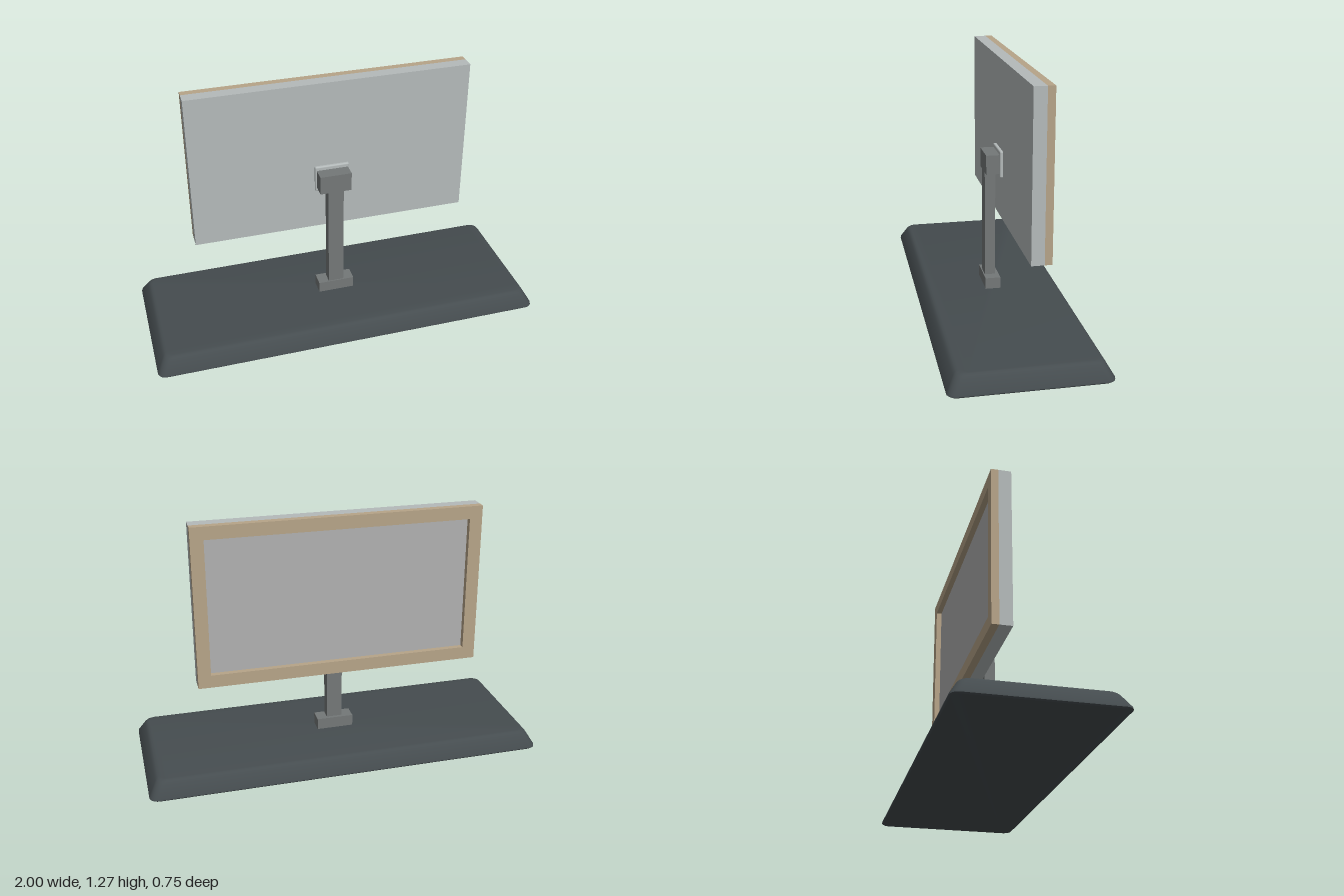
import * as THREE from 'three';
import { toCreasedNormals } from 'three/addons/utils/BufferGeometryUtils.js';
import { RoundedBoxGeometry } from 'three/addons/geometries/RoundedBoxGeometry.js';

const paint = (color) => new THREE.MeshStandardMaterial({ color });
const baseMat = paint(0x454c4f);
const standMat = paint(0x747878);
const panelMat = paint(0xb4baba);
const frameMat = paint(0xb6a488);
const screenMat = paint(0xb0b0b0);

// Box given by its limits on each axis
function block(name, material, [x0, x1], [y0, y1], [z0, z1], round = 0) {
  const size = [x1 - x0, y1 - y0, z1 - z0];
  const geometry = round
    ? new RoundedBoxGeometry(...size, 2, round)
    : new THREE.BoxGeometry(...size);
  const mesh = new THREE.Mesh(geometry, material);
  mesh.position.set((x0 + x1) / 2, (y0 + y1) / 2, (z0 + z1) / 2);
  mesh.name = name;
  return mesh;
}

// Outline of a rounded rectangle, running from +x towards +z
function roundedRing(halfX, halfZ, radius, y, steps = 6) {
  const ring = [];
  const corners = [[1, 1], [-1, 1], [-1, -1], [1, -1]];
  corners.forEach(([sx, sz], c) => {
    for (let i = 0; i <= steps; i++) {
      const a = (c + i / steps) * Math.PI / 2;
      ring.push([
        sx * (halfX - radius) + radius * Math.cos(a), y,
        sz * (halfZ - radius) + radius * Math.sin(a),
      ]);
    }
  });
  return ring;
}

// Tapered base lofted through stacked rings: [inset, height]
function baseGeometry() {
  const profile = [[0.006, 0], [0, 0.006], [0.001, 0.014], [0.035, 0.073],
    [0.042, 0.082], [0.05, 0.088], [0.06, 0.09]];
  const rings = profile.map(([inset, y]) => roundedRing(1 - inset, 0.375 - inset, 0.04, y));
  const n = rings[0].length;
  const positions = rings.flat(2);
  const index = [];
  for (let r = 0; r < rings.length - 1; r++) {
    for (let i = 0; i < n; i++) {
      const a = r * n + i, b = r * n + (i + 1) % n;
      index.push(a, a + n, b, b, a + n, b + n);
    }
  }
  // Flat caps
  const top = (rings.length - 1) * n;
  for (let i = 1; i < n - 1; i++) {
    index.push(0, i, i + 1);
    index.push(top, top + i + 1, top + i);
  }
  const geometry = new THREE.BufferGeometry();
  geometry.setAttribute('position', new THREE.Float32BufferAttribute(positions, 3));
  geometry.setIndex(index);
  return toCreasedNormals(geometry, 0.7);
}

export function createModel() {
  const model = new THREE.Group();
  model.name = 'displayStand';

  const base = new THREE.Mesh(baseGeometry(), baseMat);
  base.name = 'base';
  model.add(base);

  // Stand: foot, post, head and mounting plate
  const stand = new THREE.Group();
  stand.name = 'stand';
  stand.add(
    block('foot', standMat, [-0.094, 0.094], [0.085, 0.148], [-0.037, 0.04]),
    block('post', standMat, [-0.04, 0.04], [0.148, 0.7], [-0.02, 0.034]),
    block('head', standMat, [-0.081, 0.081], [0.7, 0.798], [-0.034, 0.034]),
    block('mountingPlate', panelMat, [-0.089, 0.089], [0.68, 0.818], [-0.054, -0.034], 0.007),
  );
  model.add(stand);

  // Display: panel, recessed screen and the frame around it
  const display = new THREE.Group();
  display.name = 'display';
  const w = 0.714, y0 = 0.459, y1 = 1.271, rail = 0.064, back = -0.147, seam = -0.111;
  display.add(
    block('panel', panelMat, [-w, w], [y0, y1], [seam, -0.049]),
    block('screen', screenMat, [-w + rail, w - rail], [y0 + rail, y1 - rail], [-0.119, seam]),
    block('topRail', frameMat, [-w, w], [y1 - rail, y1], [back, seam]),
    block('bottomRail', frameMat, [-w, w], [y0, y0 + rail], [back, seam]),
    block('leftRail', frameMat, [w - rail, w], [y0 + rail, y1 - rail], [back, seam]),
    block('rightRail', frameMat, [-w, -w + rail], [y0 + rail, y1 - rail], [back, seam]),
  );
  model.add(display);

  return model;
}
